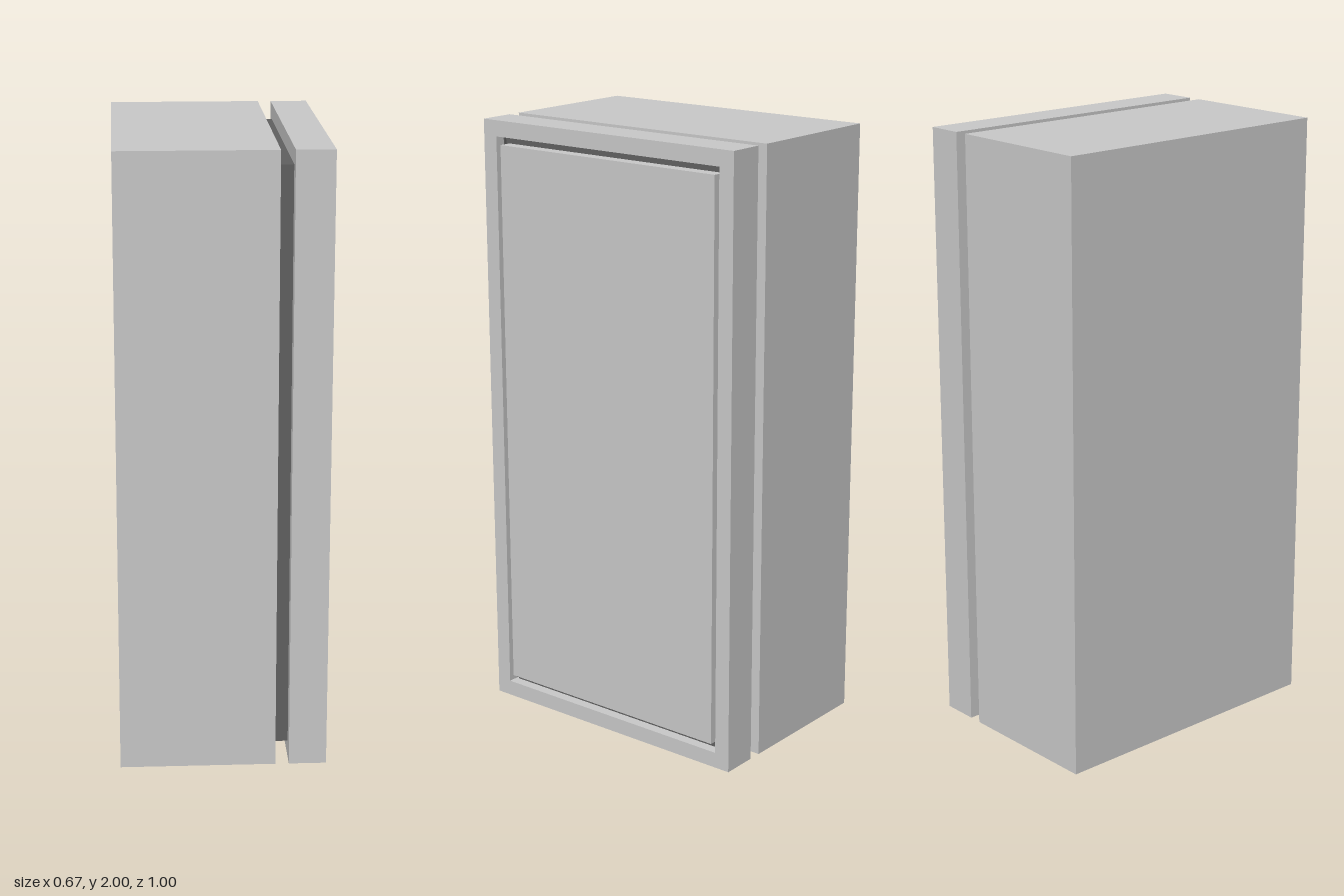
import * as THREE from 'three';

export function createModel() {
  const model = new THREE.Group();
  const shell = new THREE.MeshStandardMaterial({ color: 0xc8c8c8 });
  shell.name = 'light grey shell';
  const seal = new THREE.MeshStandardMaterial({ color: 0x606060 });
  seal.name = 'dark grey seal';

  // Box given by its minimum and maximum corners
  function block(name, material, [x0, y0, z0], [x1, y1, z1]) {
    const mesh = new THREE.Mesh(new THREE.BoxGeometry(x1 - x0, y1 - y0, z1 - z0), material);
    mesh.position.set((x0 + x1) / 2, (y0 + y1) / 2, (z0 + z1) / 2);
    mesh.name = name;
    model.add(mesh);
  }

  // Rectangle in the z-y plane, centred at half height
  function rectangle(PathType, halfZ, halfY) {
    return new PathType([[-1, -1], [1, -1], [1, 1], [-1, 1]]
      .map(([a, b]) => new THREE.Vector2(a * halfZ, 1 + b * halfY)));
  }

  const bodyFace = 0.168, doorBack = 0.212, doorFront = 0.333, sealFront = 0.3;

  // Main cabinet
  block('cabinet', shell, [-0.333, 0, -0.5], [bodyFace, 2, 0.5]);

  // Door rim with a rectangular opening
  const rim = rectangle(THREE.Shape, 0.5, 1);
  rim.holes.push(rectangle(THREE.Path, 0.447, 0.948));
  const rimGeometry = new THREE.ExtrudeGeometry(rim, { depth: doorFront - doorBack, bevelEnabled: false });
  rimGeometry.rotateY(Math.PI / 2);
  const rimMesh = new THREE.Mesh(rimGeometry, shell);
  rimMesh.position.x = doorBack;
  rimMesh.name = 'doorRim';
  model.add(rimMesh);

  // Door panel, separated from the rim by a narrow slot
  block('doorPanel', shell, [doorBack, 0.078, -0.43], [doorFront, 1.922, 0.43]);

  // Seal: solid rails above and below, paired thin walls at the sides
  block('topSeal', seal, [bodyFace, 1.924, -0.435], [sealFront, 1.947, 0.435]);
  block('bottomSeal', seal, [bodyFace, 0.053, -0.435], [sealFront, 0.076, 0.435]);
  for (const side of [-1, 1]) {
    for (const z of [0.444, 0.432]) {
      block('sideSeal', seal,
        [bodyFace, 0.055, side * z - 0.002], [sealFront, 1.946, side * z + 0.002]);
    }
  }

  return model;
}
